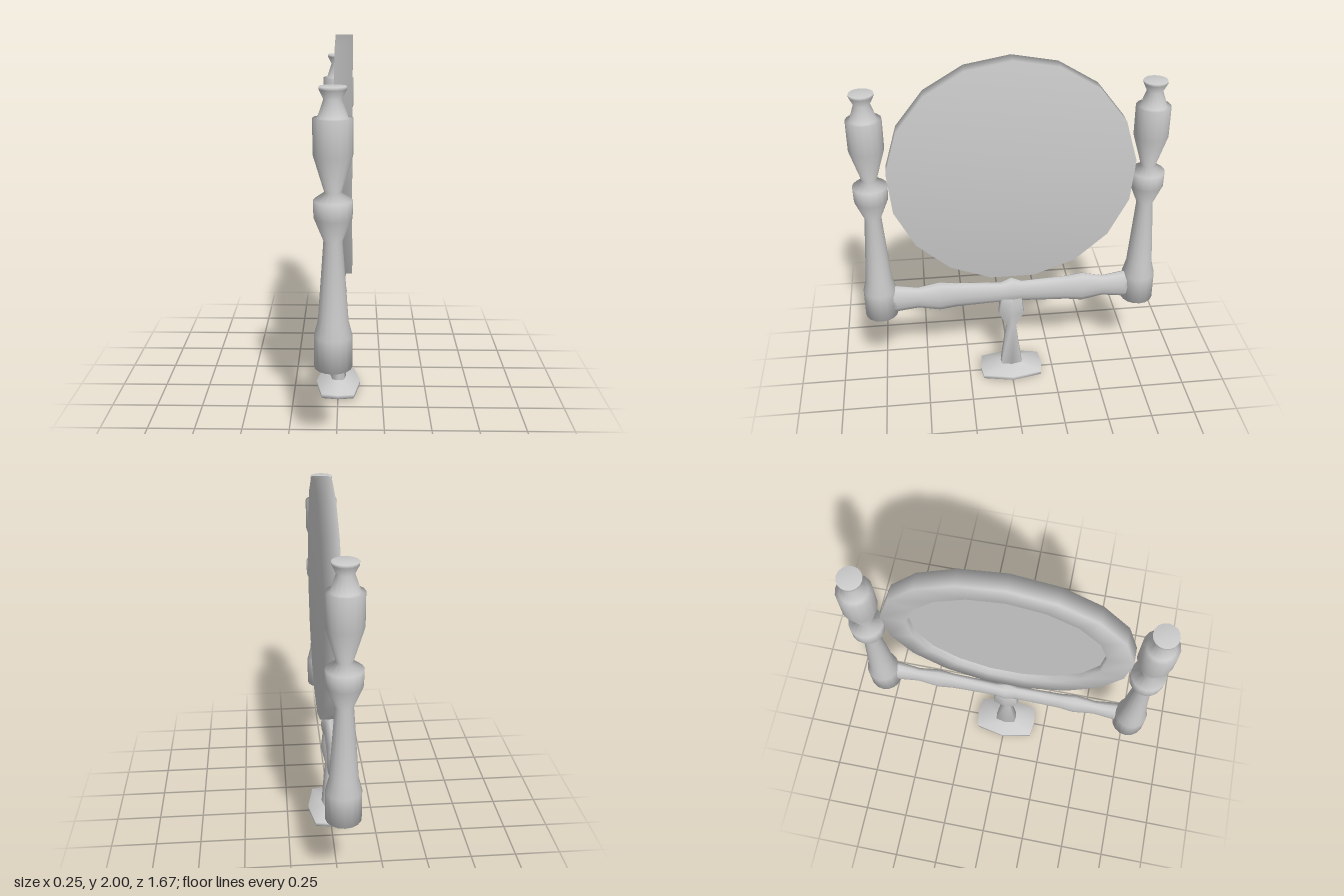
import * as THREE from 'three';

const material = new THREE.MeshStandardMaterial({ color: 0xcccccc, side: THREE.DoubleSide });

function addMesh(parent, name, geometry) {
  const mesh = new THREE.Mesh(geometry, material);
  mesh.name = name;
  parent.add(mesh);
  return mesh;
}

const lathe = (points, sides, start = 0) =>
  new THREE.LatheGeometry(points.map(([r, y]) => new THREE.Vector2(r, y)), sides, start);

// Skins closed cross-sections (arrays of [x, y, z]) and caps both ends.
function loft(rings) {
  const n = rings[0].length;
  const positions = rings.flat(2);
  const index = [];
  for (let r = 0; r < rings.length - 1; r++) {
    for (let i = 0; i < n; i++) {
      const j = (i + 1) % n;
      const a = r * n + i, b = r * n + j;
      index.push(a, a + n, b, b, a + n, b + n);
    }
  }
  const last = (rings.length - 1) * n;
  for (let i = 1; i < n - 1; i++) {
    index.push(0, i, i + 1, last, last + i + 1, last + i);
  }
  const geometry = new THREE.BufferGeometry();
  geometry.setAttribute('position', new THREE.Float32BufferAttribute(positions, 3));
  geometry.setIndex(index);
  geometry.computeVertexNormals();
  return geometry;
}

export function createModel() {
  const model = new THREE.Group();
  model.name = 'standingMirror';

  // Round 17-sided frame with a shallow recess on its -x side
  const sides = 17, start = -Math.PI / 2;
  const mirror = new THREE.Group();
  mirror.name = 'mirror';
  mirror.position.y = 1.363;
  mirror.scale.z = 0.655 / 0.637;
  model.add(mirror);
  const frame = lathe([
    [0.5, 0.02], [0.505, -0.014], [0.637, -0.014], [0.637, 0.075], [0, 0.075],
  ], sides, start);
  addMesh(mirror, 'mirrorFrame', frame.rotateZ(-Math.PI / 2));
  const glass = lathe([[0, 0.02], [0.5, 0.02]], sides, start);
  addMesh(mirror, 'mirrorGlass', glass.rotateZ(-Math.PI / 2));

  // Turned posts on both sides of the mirror
  const postProfile = [
    [0, 0.485], [0.092, 0.485], [0.092, 0.65], [0.073, 0.725], [0.045, 1.12],
    [0.09, 1.23], [0.092, 1.315], [0.04, 1.352], [0.092, 1.525], [0.092, 1.692],
    [0.07, 1.694], [0.042, 1.775], [0.063, 1.818], [0.063, 1.832], [0, 1.832],
  ];
  for (const [name, z] of [['frontPost', 0.742], ['backPost', -0.742]]) {
    addMesh(model, name, lathe(postProfile, 16)).position.set(-0.012, 0, z);
  }

  // Flattened turned rail: [z, centre y, half height, half width]
  const half = [
    [0.7, 0.58, 0.088, 0.045], [0.65, 0.581, 0.084, 0.045], [0.53, 0.578, 0.067, 0.033],
    [0.41, 0.579, 0.092, 0.045], [0.32, 0.579, 0.08, 0.036], [0.06, 0.578, 0.066, 0.033],
  ];
  const mirrored = half.map(([z, ...rest]) => [-z, ...rest]);
  const railSections = [...mirrored, [0, 0.59, 0.08, 0.048], ...half.slice().reverse()];
  const railRings = railSections.map(([z, y, h, w]) =>
    Array.from({ length: 12 }, (_, i) => {
      const a = -i * Math.PI / 6;
      return [w * Math.cos(a), y + h * Math.sin(a), z];
    }));
  addMesh(model, 'rail', loft(railRings));

  // Stem and foot share one faceted outline: [y, half width x, half depth z]
  const outline = [
    [1, 0], [0.72, 0.93], [0, 1], [-0.72, 0.93],
    [-1, 0], [-0.72, -0.93], [0, -1], [0.72, -0.93],
  ];
  const section = ([y, w, d]) => outline.map(([x, z]) => [x * w, y, z * d]);
  addMesh(model, 'stem', loft([
    [0.06, 0.046, 0.064], [0.34, 0.025, 0.028], [0.44, 0.049, 0.075],
    [0.51, 0.04, 0.064], [0.6, 0.036, 0.06],
  ].map(section)));
  addMesh(model, 'foot', loft([
    [0, 0.11, 0.165], [0.012, 0.125, 0.185], [0.034, 0.125, 0.185], [0.068, 0.046, 0.064],
  ].map(section)));

  return model;
}
